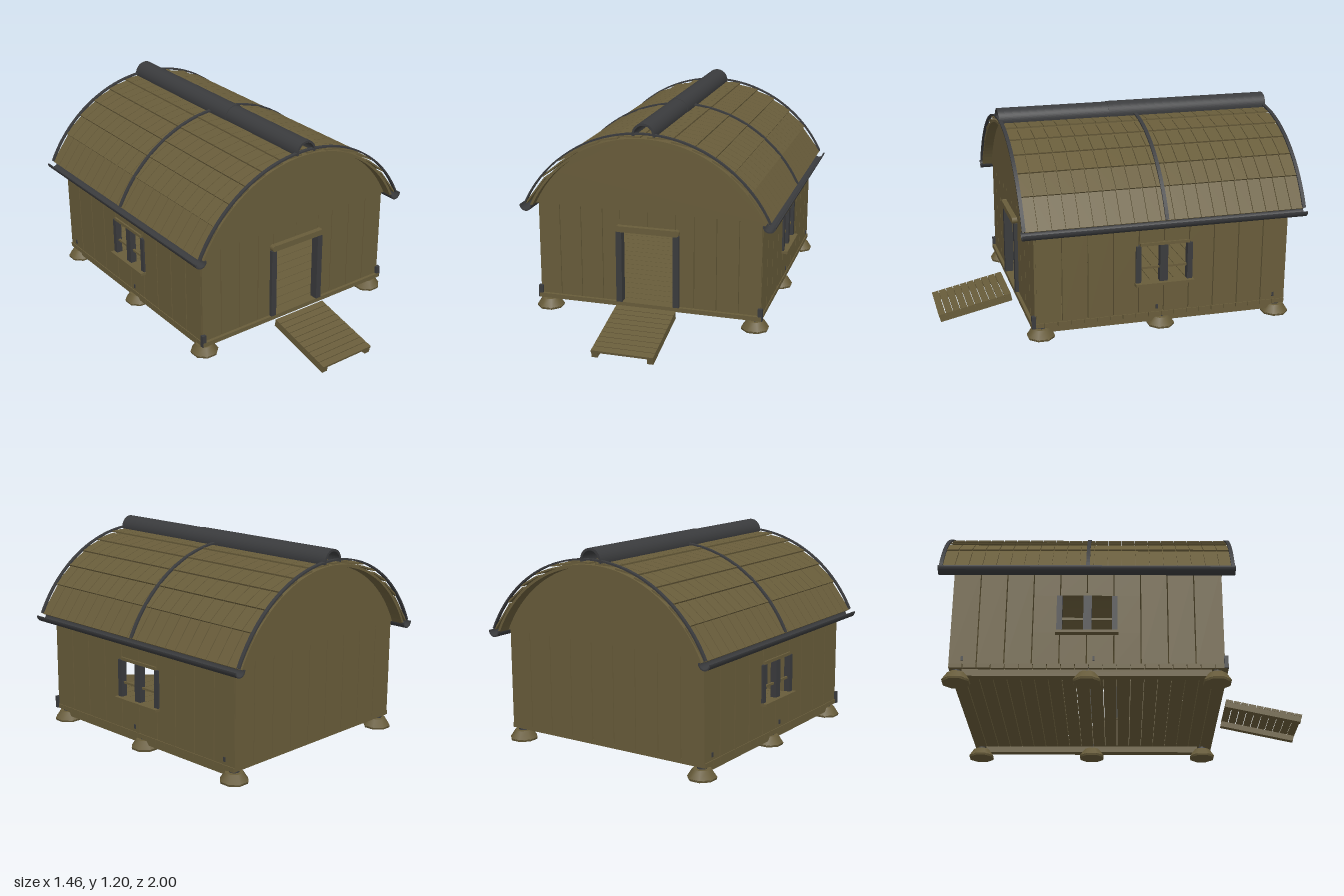
import * as THREE from 'three';

export function createModel() {
  const wood = new THREE.MeshStandardMaterial({ color: 0x685c3a });
  wood.name = 'olive wood';
  const dark = new THREE.MeshStandardMaterial({ color: 0x3a3b3d });
  dark.name = 'dark metal';

  const model = new THREE.Group();
  model.name = 'cabin';
  const section = (name) => {
    const g = new THREE.Group();
    g.name = name;
    model.add(g);
    return g;
  };
  const add = (parent, name, geo, mat, x = 0, y = 0, z = 0) => {
    const m = new THREE.Mesh(geo, mat);
    m.name = name;
    m.position.set(x, y, z);
    parent.add(m);
    return m;
  };
  // Box given by its limits on each axis
  const block = (parent, name, mat, x0, x1, y0, y1, z0, z1) =>
    add(parent, name, new THREE.BoxGeometry(Math.abs(x1 - x0), y1 - y0, Math.abs(z1 - z0)), mat,
      (x0 + x1) / 2, (y0 + y1) / 2, (z0 + z1) / 2);
  // Curved strip: ring sector in the front plane, extruded along z (angles in degrees from +x)
  const ring = (ri, ro, a0, a1, depth, segments) => {
    const s = new THREE.Shape();
    const r0 = THREE.MathUtils.degToRad(a0), r1 = THREE.MathUtils.degToRad(a1);
    s.absarc(0, 0, ro, r0, r1, false);
    s.absarc(0, 0, ri, r1, r0, true);
    return new THREE.ExtrudeGeometry(s, { depth, bevelEnabled: false, curveSegments: segments });
  };

  const roofY = 0.371, zFront = 0.6, zBack = -1;

  // Stone feet, stubs and long beams under the floor
  const base = section('foundation');
  for (const s of [-1, 1]) {
    for (const z of [0.49, -0.195, -0.88]) {
      const foot = new THREE.CylinderGeometry(0.05, 0.079, 0.045, 8).rotateY(Math.PI / 8);
      add(base, 'foot', foot, wood, s * 0.605, 0.0875, z);
      add(base, 'footRim', new THREE.CylinderGeometry(0.079, 0.076, 0.012, 8).rotateY(Math.PI / 8), wood, s * 0.605, 0.061, z);
      add(base, 'stub', new THREE.CylinderGeometry(0.024, 0.028, 0.04, 8), dark, s * 0.605, 0.122, z);
    }
    block(base, 'floorBeam', wood, s * 0.58, s * 0.63, 0.088, 0.126, -0.85, 0.46);
  }

  // Floor boards laid across
  const floor = section('floor');
  const nFloor = 20, floorStep = 1.47 / nFloor;
  for (let i = 0; i < nFloor; i++) {
    const z = -0.92 + i * floorStep;
    block(floor, 'floorBoard', wood, -0.65, 0.65, 0.125, 0.15, z + 0.002, z + floorStep - 0.002);
  }

  // Front wall planks either side of and above the doorway
  const front = section('frontWall');
  const edges = [0.645, 0.518, 0.392, 0.265, 0.16];
  for (const s of [-1, 1]) {
    for (let i = 0; i < 4; i++) {
      block(front, 'frontPlank', wood, s * (edges[i] - 0.002), s * (edges[i + 1] + 0.002), 0.148, 0.69, 0.51, 0.53);
    }
    block(front, 'overDoorPlank', wood, s * 0.001, s * 0.16, 0.57, 0.69, 0.51, 0.53);
    block(front, 'doorPost', dark, s * 0.148, s * 0.182, 0.15, 0.568, 0.5, 0.55);
    block(front, 'cornerBracket', dark, s * 0.63, s * 0.655, 0.125, 0.195, 0.525, 0.547);
  }
  block(front, 'lintel', wood, -0.17, 0.17, 0.568, 0.602, 0.51, 0.56);
  for (const s of [-1, 1]) {
    add(front, 'lintelEnd', new THREE.CylinderGeometry(0.019, 0.019, 0.05, 8).rotateX(Math.PI / 2), wood, s * 0.167, 0.586, 0.535);
  }

  // Back wall planks
  const back = section('backWall');
  for (let i = 0; i < 9; i++) {
    const x = -0.645 + i * 0.1433;
    block(back, 'backPlank', wood, x + 0.002, x + 0.1413, 0.148, 0.69, -0.92, -0.9);
  }

  // Side walls with a window opening in each
  const winLow = 0.33, winHigh = 0.55, winFront = -0.05, winBack = -0.35;
  for (const s of [-1, 1]) {
    const side = section(s > 0 ? 'leftWall' : 'rightWall');
    const xi = s * 0.625, xo = s * 0.645;
    for (let i = 0; i < 10; i++) {
      const z1 = 0.522 - i * 0.144 - 0.003, z0 = z1 - 0.138;
      if (z1 < winBack || z0 > winFront) {
        block(side, 'sidePlank', wood, xi, xo, 0.148, 0.69, z0, z1);
        continue;
      }
      block(side, 'plankBelowWindow', wood, xi, xo, 0.148, winLow, z0, z1);
      block(side, 'plankAboveWindow', wood, xi, xo, winHigh, 0.69, z0, z1);
      if (z1 > winFront) block(side, 'plankBesideWindow', wood, xi, xo, winLow, winHigh, winFront, z1);
      if (z0 < winBack) block(side, 'plankBesideWindow', wood, xi, xo, winLow, winHigh, z0, winBack);
    }
    for (const [z, w] of [[-0.05, 0.03], [-0.195, 0.045], [-0.345, 0.03]]) {
      block(side, 'windowPost', dark, s * 0.62, s * 0.656, winLow, winHigh - 0.005, z - w / 2, z + w / 2);
    }
    block(side, 'windowRail', wood, s * 0.63, s * 0.642, 0.408, 0.42, winBack, winFront);
    block(side, 'windowSill', wood, s * 0.62, s * 0.68, 0.318, 0.333, -0.365, -0.03);
    block(side, 'windowHead', wood, s * 0.62, s * 0.656, 0.545, 0.562, -0.34, -0.06);
    for (const z of [-0.16, -0.85]) block(side, 'peg', dark, s * 0.64, s * 0.65, 0.168, 0.192, z - 0.006, z + 0.006);
  }

  // Arched gables
  const a = Math.asin((0.688 - roofY) / 0.731);
  const gableShape = new THREE.Shape();
  gableShape.absarc(0, 0, 0.731, a, Math.PI - a, false);
  const gableGeo = new THREE.ExtrudeGeometry(gableShape, { depth: 0.02, bevelEnabled: false, curveSegments: 28 });
  add(model, 'frontGable', gableGeo, wood, 0, roofY, 0.515);
  add(model, 'backGable', gableGeo, wood, 0, roofY, -0.92);

  // Vaulted roof deck with stepped rows of shingles
  const roof = section('roof');
  add(roof, 'roofDeck', ring(0.73, 0.744, 25.5, 154.5, 1.58, 28), wood, 0, roofY, -0.99);
  const rows = [1.5, 11.5, 20.8, 30, 39.5, 50, 64.3], columns = 21;
  const step = (zFront - zBack - 0.02) / columns;
  const polar = (r, deg) => {
    const t = THREE.MathUtils.degToRad(deg);
    return new THREE.Vector2(r * Math.sin(t), roofY + r * Math.cos(t));
  };
  for (let i = 0; i < rows.length - 1; i++) {
    const p0 = polar(0.752, rows[i]);
    const p1 = polar(0.768, rows[i + 1] + 0.4);
    const shingle = new THREE.BoxGeometry(p0.distanceTo(p1), 0.009, step - 0.004);
    const tilt = Math.atan2(p1.y - p0.y, p1.x - p0.x);
    for (const s of [-1, 1]) {
      for (let j = 0; j < columns; j++) {
        const m = add(roof, 'shingle', shingle, wood, s * (p0.x + p1.x) / 2, (p0.y + p1.y) / 2,
          zBack + 0.01 + (j + 0.5) * step);
        m.rotation.z = s * tilt;
      }
    }
  }

  // Dark bands over the roof at both ends and the middle
  const band = ring(0.768, 0.777, 25.5, 154.5, 0.02, 28);
  for (const z of [zBack, -0.205, zFront - 0.02]) add(roof, 'roofBand', band, dark, 0, roofY, z);

  // Ridge cap in two overlapping lengths
  add(roof, 'ridgeCapFront', ring(0.052, 0.064, -8, 188, 0.64, 16), dark, 0, 1.138, -0.04);
  add(roof, 'ridgeCapBack', ring(0.054, 0.067, -8, 188, 0.96, 16), dark, 0, 1.138, zBack);

  // Half-round gutters along the eaves
  for (const s of [-1, 1]) {
    add(roof, 'gutter', ring(0.029, 0.036, 180, 360, 1.6, 12), dark, s * 0.694, 0.691, zBack);
  }

  // Entry ramp: slats on two stringers
  const ramp = section('ramp');
  ramp.position.set(0, 0.0825, 0.785);
  ramp.rotation.x = 0.215;
  for (const s of [-1, 1]) block(ramp, 'stringer', wood, s * 0.138, s * 0.172, -0.032, 0, -0.215, 0.213);
  for (let i = 0; i < 10; i++) {
    const z = -0.218 + i * 0.0435;
    block(ramp, 'slat', wood, -0.173, 0.173, 0, 0.013, z + 0.002, z + 0.0415);
  }

  return model;
}
